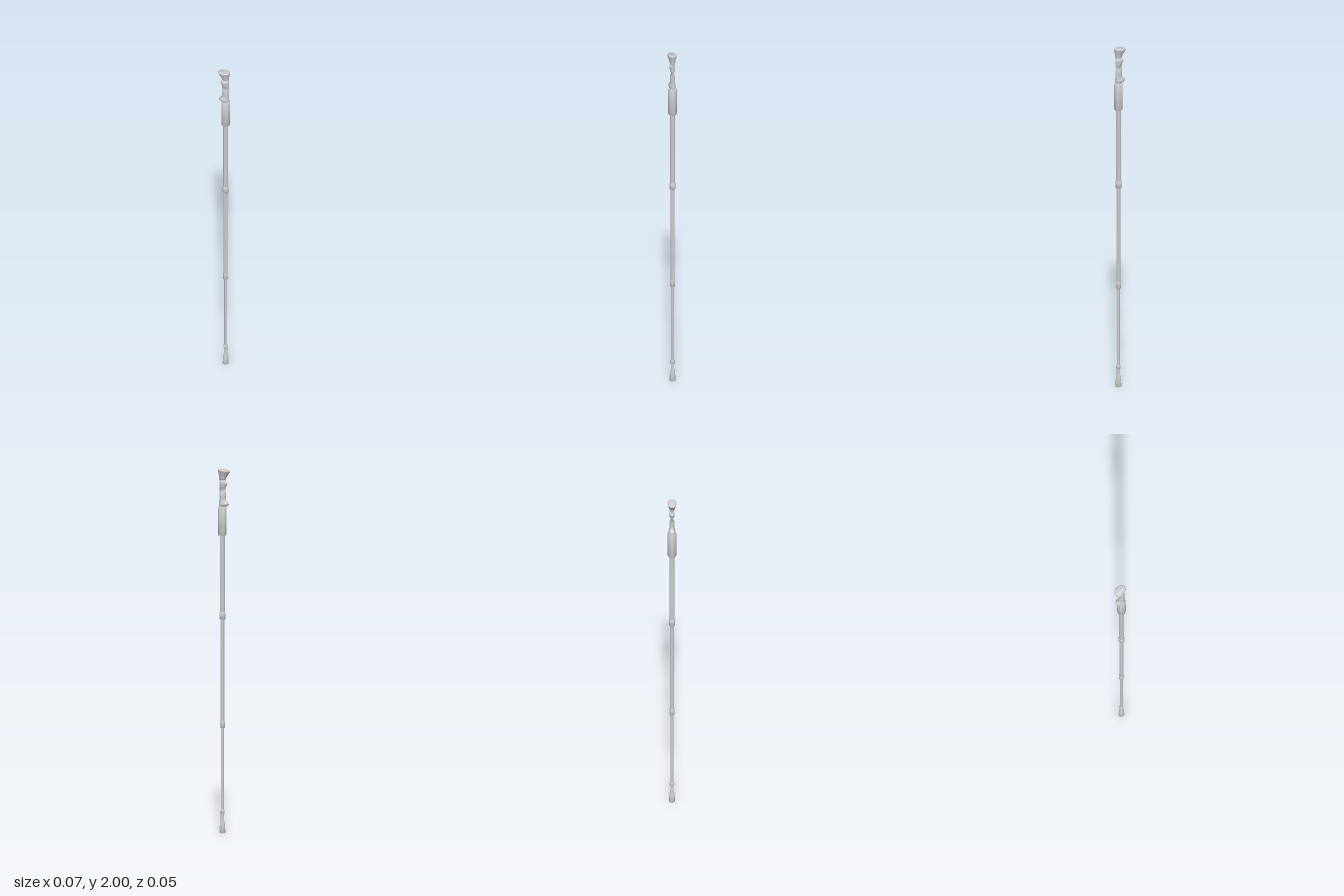
import * as THREE from 'three';
import { toCreasedNormals } from 'three/addons/utils/BufferGeometryUtils.js';

const AXIS = 0.01; // x of the shaft's centre line
const SEG = 32;
const material = new THREE.MeshStandardMaterial({ color: 0xcccccc });

// Turned part from [radius, y] pairs, listed bottom to top
function turned(name, profile) {
  const points = profile.map(([r, y]) => new THREE.Vector2(r, y));
  const geometry = toCreasedNormals(new THREE.LatheGeometry(points, SEG), 0.6);
  const mesh = new THREE.Mesh(geometry, material);
  mesh.name = name;
  mesh.position.x = AXIS;
  return mesh;
}

// Closed loft of elliptical rings: [y, left x, right x, half depth, tilt]
function loft(rings) {
  const positions = [], index = [];
  rings.forEach(([y, x0, x1, rz, tilt]) => {
    for (let j = 0; j < SEG; j++) {
      const a = (j / SEG) * Math.PI * 2, c = Math.cos(a);
      positions.push((x0 + x1) / 2 + ((x1 - x0) / 2) * c, y + tilt * (c - 1), rz * Math.sin(a));
    }
  });
  for (let i = 0; i < rings.length - 1; i++) {
    for (let j = 0; j < SEG; j++) {
      const k = (j + 1) % SEG;
      const a = i * SEG + j, b = i * SEG + k;
      index.push(a, a + SEG, b, b, a + SEG, b + SEG);
    }
  }
  // End caps
  const top = (rings.length - 1) * SEG;
  for (let j = 1; j < SEG - 1; j++) {
    index.push(0, j, j + 1, top, top + j + 1, top + j);
  }
  const geometry = new THREE.BufferGeometry();
  geometry.setAttribute('position', new THREE.Float32BufferAttribute(positions, 3));
  geometry.setIndex(index);
  return toCreasedNormals(geometry, 0.7);
}

// Shaped handle with finger rests toward -x and a flared top
function handle() {
  const keys = [
    [1.797, -0.016, 0.029, 0.016, 0],
    [1.806, -0.028, 0.030, 0.019, 0],
    [1.814, -0.027, 0.029, 0.018, 0],
    [1.826, -0.013, 0.028, 0.014, 0],
    [1.865, -0.011, 0.028, 0.013, 0],
    [1.900, -0.011, 0.028, 0.013, 0],
    [1.912, -0.015, 0.028, 0.014, 0],
    [1.921, -0.020, 0.028, 0.015, 0],
    [1.931, -0.014, 0.028, 0.014, 0],
    [1.945, -0.011, 0.028, 0.014, 0],
    [1.962, -0.017, 0.029, 0.017, 0],
    [1.978, -0.027, 0.032, 0.021, 0.001],
    [1.990, -0.035, 0.035, 0.025, 0.002],
  ];
  // Smooth the key rings, then finish with a bevelled crown
  const interpolate = (columns) => new THREE.CatmullRomCurve3(
    keys.map((k) => new THREE.Vector3(...columns.map((c) => k[c]))));
  const edges = interpolate([0, 1, 2]), depths = interpolate([3, 4, 4]);
  const steps = (keys.length - 1) * 3, rings = [];
  for (let i = 0; i <= steps; i++) {
    const e = edges.getPoint(i / steps), d = depths.getPoint(i / steps);
    rings.push([e.x, e.y, e.z, d.x, d.y]);
  }
  rings.push([1.996, -0.035, 0.035, 0.025, 0.003], [2.0, -0.030, 0.030, 0.021, 0.003]);
  const mesh = new THREE.Mesh(loft(rings), material);
  mesh.name = 'handle';
  return mesh;
}

// Locking collar between two shaft sections
function collar(name, y0, y1, r) {
  const b = 0.004;
  return turned(name, [[0, y0], [r - 0.002, y0], [r, y0 + b], [r, y1 - b], [r - 0.002, y1], [0, y1]]);
}

export function createModel() {
  const group = new THREE.Group();
  group.name = 'walkingPole';

  // Flared foot and its ring
  group.add(turned('foot', [
    [0, 0], [0.015, 0], [0.0165, 0.004], [0.015, 0.03], [0.013, 0.058],
    [0.0095, 0.068], [0.009, 0.108], [0, 0.108],
  ]));
  group.add(collar('footRing', 0.107, 0.128, 0.0125));

  // Three telescoping shaft sections with collars
  const shafts = [
    ['lowerShaft', 0.1, 0.6, 0.008],
    ['middleShaft', 0.6, 1.2, 0.011],
    ['upperShaft', 1.2, 1.65, 0.0135],
  ];
  for (const [name, y0, y1, r] of shafts) {
    group.add(turned(name, [[0, y0], [r, y0], [r, y1], [0, y1]]));
  }
  group.add(collar('lowerCollar', 0.578, 0.62, 0.0135));
  group.add(collar('upperCollar', 1.175, 1.215, 0.0165));

  // Straight lower grip, neck and handle
  group.add(collar('lowerGrip', 1.637, 1.792, 0.0235));
  group.add(turned('neck', [[0.013, 1.78], [0.013, 1.81]]));
  group.add(handle());

  return group;
}
